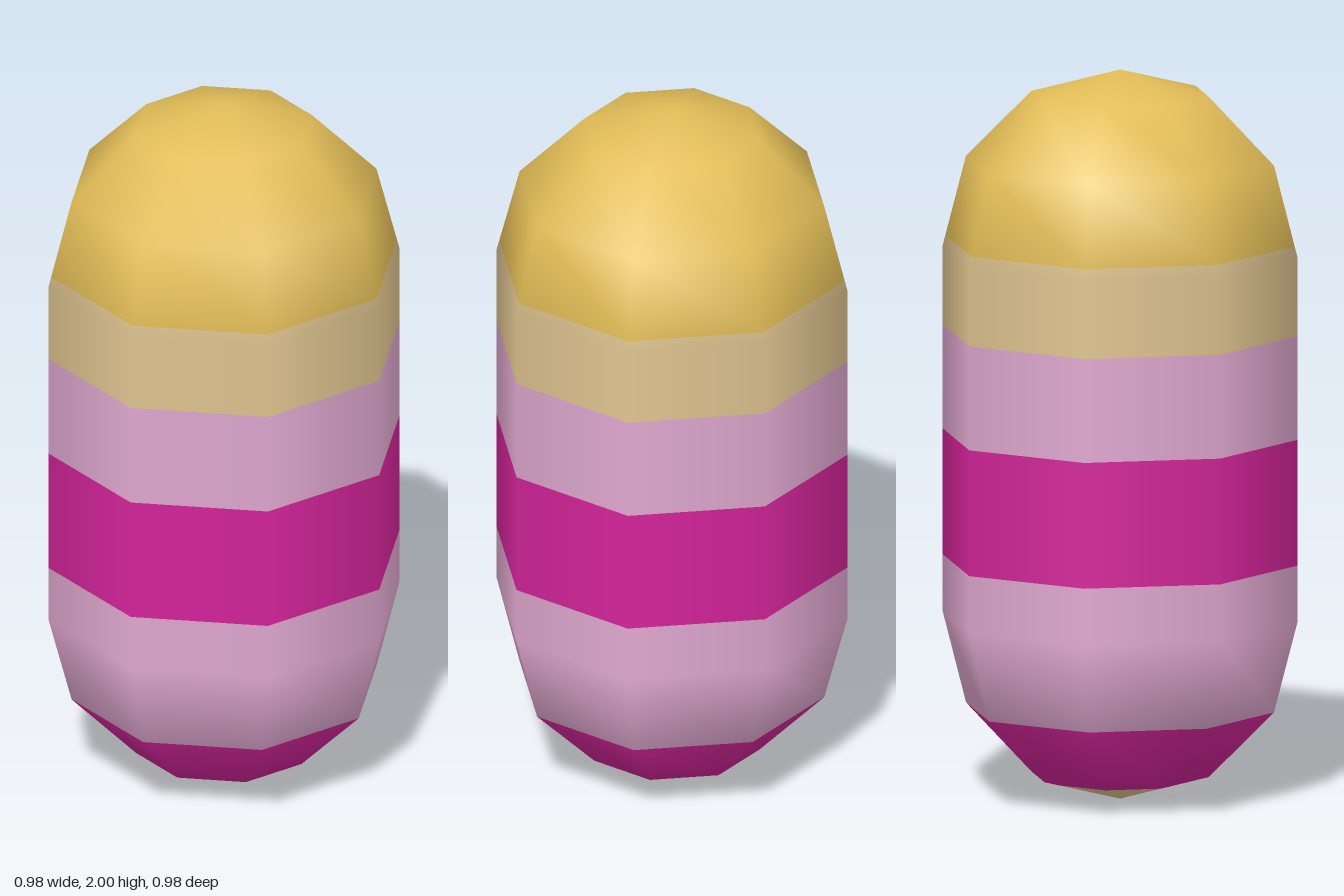
import * as THREE from 'three';

const SIDES = 8;

// Capsule outline as [radius, height], bottom to top
const PROFILE = [
  [0, 0], [0.245, 0.067], [0.425, 0.25], [0.49, 0.5],
  [0.49, 1.5], [0.425, 1.75], [0.245, 1.933], [0, 2],
];

function radiusAt(y) {
  for (let i = 1; i < PROFILE.length; i++) {
    const [r0, y0] = PROFILE[i - 1], [r1, y1] = PROFILE[i];
    if (y <= y1) return r0 + (r1 - r0) * (y - y0) / (y1 - y0);
  }
  return 0;
}

// One ring-shaped slice of the capsule between two heights
function band(name, y0, y1, material) {
  const inner = PROFILE.filter(([, y]) => y > y0 + 1e-4 && y < y1 - 1e-4);
  const points = [[radiusAt(y0), y0], ...inner, [radiusAt(y1), y1]]
    .map(([r, y]) => new THREE.Vector2(r, y));
  const geometry = new THREE.LatheGeometry(points, SIDES);

  // Round capsule normals keep the shading continuous across bands
  const pos = geometry.attributes.position, n = new THREE.Vector3();
  for (let i = 0; i < pos.count; i++) {
    n.fromBufferAttribute(pos, i);
    n.y -= THREE.MathUtils.clamp(n.y, 0.5, 1.5);
    n.normalize();
    geometry.attributes.normal.setXYZ(i, n.x, n.y, n.z);
  }
  const mesh = new THREE.Mesh(geometry, material);
  mesh.name = name;
  return mesh;
}

export function createModel() {
  const paint = (name, color) => {
    const m = new THREE.MeshStandardMaterial({ color });
    m.name = name;
    return m;
  };
  const gold = paint('gold', 0xe2bd57);
  const tan = paint('tan', 0xe0c590);
  const pink = paint('palePink', 0xe0a8d0);
  const magenta = paint('magenta', 0xd4249a);

  const group = new THREE.Group();
  group.name = 'stripedCapsule';
  group.add(
    band('bottomTip', 0, 0.055, tan),
    band('lowerMagentaBand', 0.055, 0.25, magenta),
    band('lowerPinkBand', 0.25, 0.655, pink),
    band('middleMagentaBand', 0.655, 1.0, magenta),
    band('upperPinkBand', 1.0, 1.285, pink),
    band('tanBand', 1.285, 1.53, tan),
    band('goldDome', 1.53, 2, gold),
  );
  return group;
}
